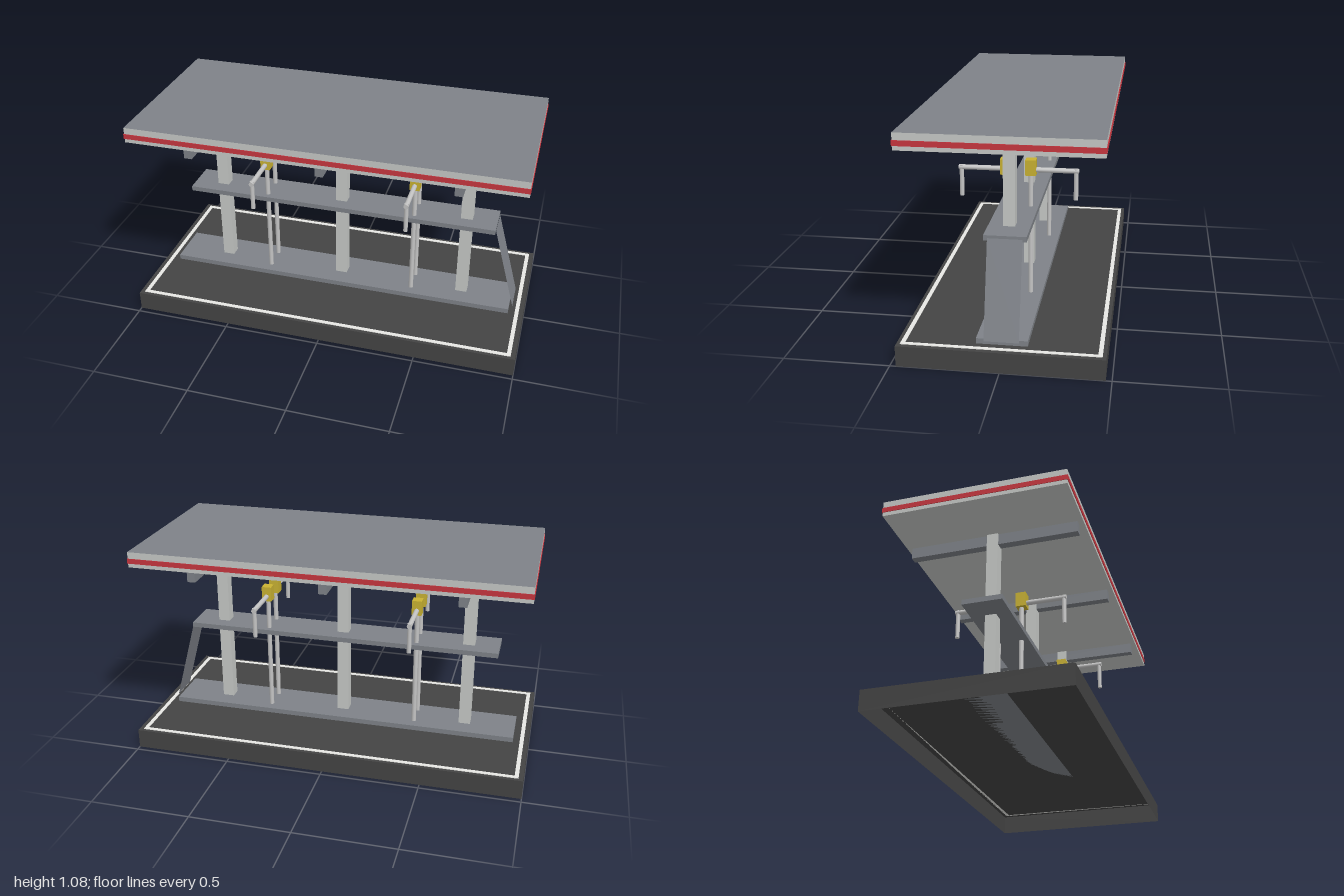
import * as THREE from 'three';

const mat = (name, color, side = THREE.FrontSide) => {
  const m = new THREE.MeshStandardMaterial({ color, side });
  m.name = name;
  return m;
};

export function createModel() {
  const asphalt = mat('asphalt', 0x444444, THREE.DoubleSide);
  const grey = mat('slateGrey', 0x7e8288, THREE.DoubleSide);
  const light = mat('lightGrey', 0xc6c9c6);
  const pipe = mat('pipeGrey', 0xc4c4c4);
  const red = mat('red', 0xc8363f);
  const yellow = mat('yellow', 0xc9b232);
  const white = mat('lineWhite', 0xe8e8e4);

  const model = new THREE.Group();
  const add = (name, geometry, material, x = 0, y = 0, z = 0, parent = model) => {
    const mesh = new THREE.Mesh(geometry, material);
    mesh.name = name;
    mesh.position.set(x, y, z);
    parent.add(mesh);
    return mesh;
  };
  // Box given by its bottom and top heights
  const box = (name, m, w, y0, y1, d, x = 0, z = 0, parent = model) =>
    add(name, new THREE.BoxGeometry(w, y1 - y0, d), m, x, (y0 + y1) / 2, z, parent);

  // Forecourt: a hollow tray open underneath
  const tray = new THREE.BoxGeometry(2, 0.1, 0.945);
  const index = Array.from(tray.index.array);
  index.splice(18, 6); // drop the bottom face
  tray.setIndex(index);
  tray.clearGroups();
  add('forecourtBase', tray, asphalt, 0, 0.05, 0);

  // Painted border line
  for (const s of [-1, 1]) {
    box('longBorderLine', white, 1.954, 0.1, 0.103, 0.02, 0, s * 0.445);
    box('shortBorderLine', white, 0.02, 0.1, 0.103, 0.87, s * 0.967, 0);
  }

  // Island slab and raised shelf
  box('islandSlab', grey, 1.845, 0.1, 0.126, 0.236);
  box('shelf', grey, 1.63, 0.556, 0.581, 0.196);

  // Sloping panel at the left end of the shelf
  const panel = new THREE.BufferGeometry();
  panel.setAttribute('position', new THREE.Float32BufferAttribute([
    0.817, 0.568, 0.08, 0.94, 0.122, 0.08, 0.94, 0.122, -0.08, 0.817, 0.568, -0.08], 3));
  panel.setIndex([0, 1, 2, 0, 2, 3]);
  panel.computeVertexNormals();
  add('slopingPanel', panel, grey);

  // Columns and the beams that carry the roof
  for (const x of [-0.66, 0, 0.66]) {
    box('column', light, 0.06, 0.126, 1.0, 0.055, x);
    box('roofBeam', grey, 0.04, 0.943, 1.0, 0.844, x);
  }

  // Roof with grey top and red band
  add('roof', new THREE.BoxGeometry(1.946, 0.078, 0.896),
    [light, light, grey, light, light, light], 0, 1.041, 0);
  box('roofBand', red, 1.952, 1.022, 1.047, 0.902);

  // Pipe stands: post, yellow valve box, outward arm and drop pipe
  const post = new THREE.CylinderGeometry(0.012, 0.012, 0.62, 12);
  const arm = new THREE.CylinderGeometry(0.0125, 0.0125, 0.215, 12).rotateX(Math.PI / 2);
  const drop = new THREE.CylinderGeometry(0.011, 0.011, 0.155, 12);
  for (const x of [-0.395, 0.395]) {
    for (const s of [-1, 1]) {
      const stand = new THREE.Group();
      stand.name = 'pipeStand';
      stand.position.x = x;
      add('post', post, pipe, 0, 0.436, s * 0.059, stand);
      box('valveBox', yellow, 0.05, 0.74, 0.817, 0.051, 0, s * 0.061, stand);
      add('arm', arm, pipe, 0, 0.765, s * 0.1835, stand);
      add('dropPipe', drop, pipe, 0, 0.6985, s * 0.278, stand);
      model.add(stand);
    }
  }
  return model;
}
